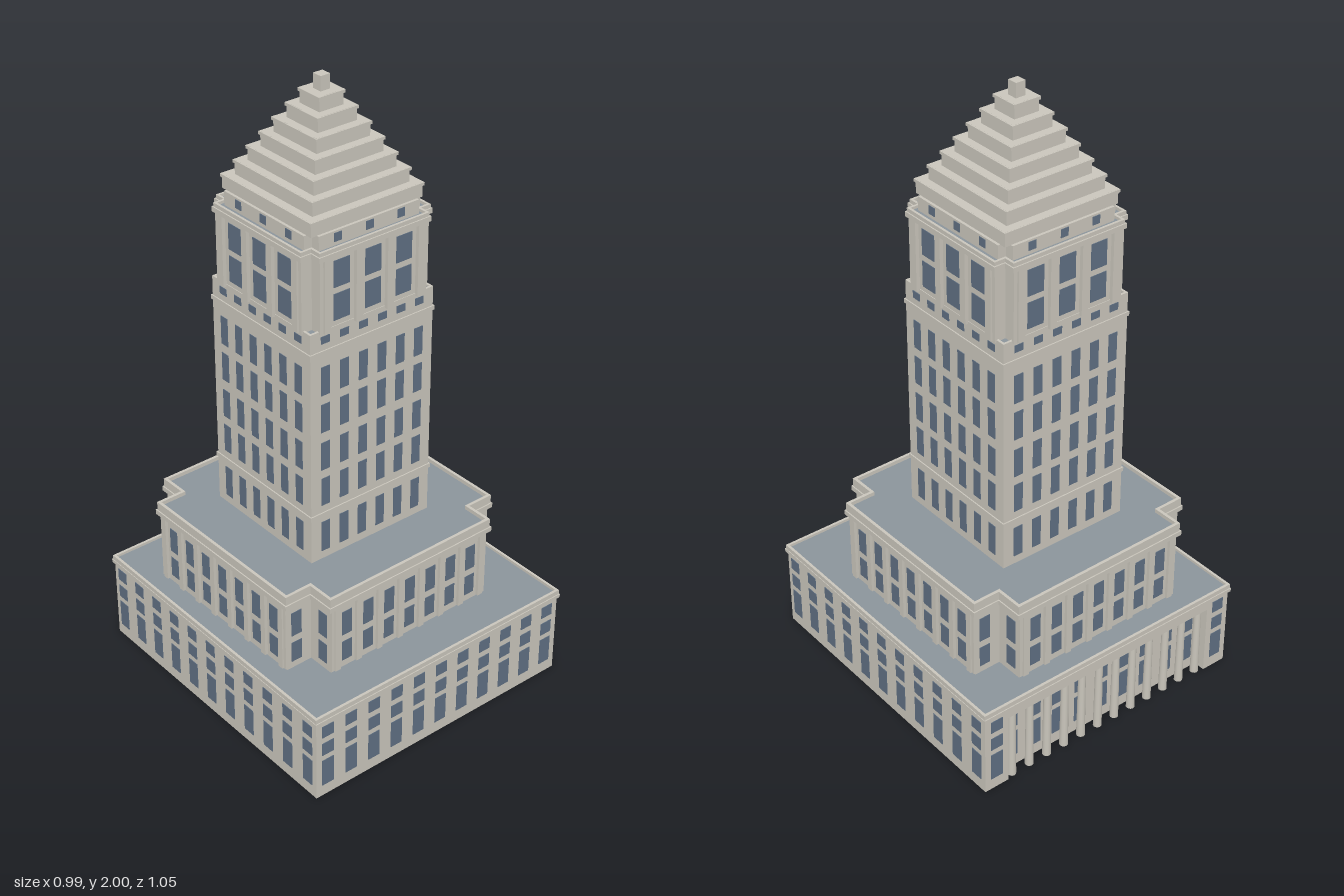
import * as THREE from 'three';
import { mergeGeometries } from 'three/addons/utils/BufferGeometryUtils.js';

const stone = new THREE.MeshStandardMaterial({ color: 0xc9c5bb, side: THREE.DoubleSide });
stone.name = 'stone';
const glass = new THREE.MeshStandardMaterial({ color: 0x5f6f82 });
glass.name = 'window glass';
const roofing = new THREE.MeshStandardMaterial({ color: 0x8b949b, side: THREE.DoubleSide });
roofing.name = 'roofing';

function add(parent, name, geometry, material) {
  const mesh = new THREE.Mesh(geometry, material);
  mesh.name = name;
  parent.add(mesh);
  return mesh;
}

function group(parent, name, x = 0, z = 0) {
  const g = new THREE.Group();
  g.name = name;
  g.position.set(x, 0, z);
  parent.add(g);
  return g;
}

// Plan outlines, listed as [x, -z]
const rect = (hx, hz) => [[-hx, -hz], [hx, -hz], [hx, hz], [-hx, hz]];
const cross = (h, n) => [[-n, -h], [n, -h], [n, -n], [h, -n], [h, n], [n, n],
  [n, h], [-n, h], [-n, n], [-h, n], [-h, -n], [-n, -n]];
// Rectangle with a wide recess along the back
const recessed = (hx, hz, rx, depth) => [[-hx, -hz], [hx, -hz], [hx, hz], [rx, hz],
  [rx, hz - depth], [-rx, hz - depth], [-rx, hz], [-hx, hz]];

// Upright prism over an outline, optionally hollow
function slab(outline, y0, y1, hole) {
  const points = (list) => list.map(([x, y]) => new THREE.Vector2(x, y));
  const shape = new THREE.Shape(points(outline));
  if (hole) shape.holes.push(new THREE.Path(points(hole)));
  const geo = new THREE.ExtrudeGeometry(shape, { depth: y1 - y0, bevelEnabled: false });
  return geo.rotateX(-Math.PI / 2).translate(0, y0, 0);
}

// Equal boxes at each x and each [bottom, top] row on a facade facing +z
function panels(xs, rows, width, dist, depth) {
  const list = [];
  for (const x of xs) for (const [y0, y1] of rows) {
    list.push(new THREE.BoxGeometry(width, y1 - y0, depth).translate(x, (y0 + y1) / 2, dist));
  }
  return mergeGeometries(list);
}

const spread = (count, step) => Array.from({ length: count }, (_, i) => (i - (count - 1) / 2) * step);

// Runs a builder once for each of the four facades
function fourSides(parent, build) {
  ['front', 'right', 'back', 'left'].forEach((side, i) => {
    const g = group(parent, side + 'Facade');
    g.rotation.y = i * Math.PI / 2;
    build(g, side);
  });
}

function buildBase(parent) {
  const g = group(parent, 'base');
  const hx = 0.487, hz = 0.517, recess = 0.04;
  add(g, 'baseWalls', slab(recessed(hx, hz, 0.4, recess), 0, 0.285,
    recessed(hx - 0.008, hz - 0.008, 0.408, recess)), stone);
  add(g, 'baseRoof', slab(rect(hx, hz), 0.285, 0.296), roofing);
  add(g, 'baseCornice', slab(rect(0.493, 0.524), 0.278, 0.29, rect(hx - 0.008, hz - 0.008)), stone);
  add(g, 'baseParapet', slab(rect(0.491, 0.521), 0.29, 0.305, rect(0.482, 0.512)), stone);

  const rows = [[0.04, 0.135], [0.155, 0.2], [0.222, 0.264]];
  fourSides(g, (f, side) => {
    const end = side === 'front' || side === 'back';
    const xs = spread(11, end ? 0.0888 : 0.0953), dist = end ? hz : hx;
    if (side === 'back') {
      add(f, 'cornerWindows', panels([xs[0], xs[10]], rows, 0.043, dist, 0.004), glass);
      add(f, 'porticoWindows', panels(xs.slice(1, 10), rows, 0.043, dist - recess, 0.004), glass);
    } else {
      add(f, 'windows', panels(xs, rows, 0.043, dist, 0.004), glass);
    }
  });

  // Columned portico at the back
  add(g, 'architrave', new THREE.BoxGeometry(0.8, 0.04, recess).translate(0, 0.265, -hz + recess / 2), stone);
  const columns = spread(12, 0.068).map((x) =>
    new THREE.CylinderGeometry(0.012, 0.014, 0.246, 12).translate(x, 0.123, -hz + 0.016));
  add(g, 'porticoColumns', mergeGeometries(columns), stone);
}

function buildMiddleTier(parent) {
  const g = group(parent, 'middleTier', -0.007, -0.035);
  g.rotation.y = 0.011;
  const h = 0.403, n = 0.311;
  add(g, 'tierWalls', slab(cross(h, n), 0.29, 0.54), stone);
  add(g, 'tierRoof', slab(cross(h, n), 0.54, 0.562), roofing);
  add(g, 'tierCornice', slab(cross(0.416, 0.324), 0.53, 0.546), stone);
  add(g, 'tierParapet', slab(cross(0.412, 0.32), 0.546, 0.575, cross(0.402, 0.31)), stone);
  const rows = [[0.32, 0.39], [0.415, 0.5]];
  fourSides(g, (f) => {
    add(f, 'windows', panels(spread(7, 0.083), rows, 0.038, h, 0.004), glass);
    add(f, 'wingWindows', panels([-0.367, 0.367], rows, 0.038, n, 0.004), glass);
    add(f, 'pilasters', panels(spread(8, 0.083), [[0.3, 0.53]], 0.02, h + 0.003, 0.014), stone);
    add(f, 'endPilasters', panels([-0.304, 0.304], [[0.3, 0.53]], 0.014, h, 0.01), stone);
  });
}

function buildTower(parent) {
  const g = group(parent, 'tower', -0.01, -0.039);
  const h = 0.23;
  add(g, 'shaft', slab(rect(h, h), 0.55, 1.335), stone);
  add(g, 'shaftRoof', slab(rect(h - 0.008, h - 0.008), 1.335, 1.34), roofing);
  add(g, 'shaftParapet', slab(rect(h, h), 1.335, 1.348, rect(h - 0.008, h - 0.008)), stone);
  for (const y of [0.715, 1.27]) {
    add(g, 'stringCourse', slab(rect(h + 0.004, h + 0.004), y, y + 0.014), stone);
  }
  const rows = [[0.59, 0.695], [0.755, 0.85], [0.88, 0.975], [1.01, 1.105], [1.135, 1.23], [1.306, 1.33]];
  fourSides(g, (f) => add(f, 'windows', panels(spread(6, 0.0703), rows, 0.032, h, 0.004), glass));

  // Belfry with notched corners
  const b = group(g, 'belfry'), d = 0.228;
  add(b, 'belfryWalls', slab(cross(d, 0.196), 1.335, 1.58), stone);
  add(b, 'belfryCornice', slab(cross(0.242, 0.205), 1.572, 1.588), stone);
  add(b, 'belfryParapet', slab(cross(0.238, 0.201), 1.588, 1.6, cross(0.23, 0.193)), stone);
  add(b, 'belfryRoof', slab(cross(0.232, 0.195), 1.588, 1.591), roofing);
  fourSides(b, (f) => {
    add(f, 'windows', panels(spread(3, 0.115), [[1.365, 1.45], [1.47, 1.555]], 0.058, d, 0.004), glass);
    add(f, 'pilasters', panels(spread(4, 0.115), [[1.34, 1.572]], 0.024, d + 0.005, 0.014), stone);
    add(f, 'endPilasters', panels([-0.192, 0.192], [[1.34, 1.572]], 0.012, d + 0.002, 0.01), stone);
  });

  // Attic under the stepped crown
  const a = group(g, 'attic');
  add(a, 'atticWalls', slab(cross(0.212, 0.183), 1.588, 1.636), stone);
  fourSides(a, (f) => add(f, 'atticWindows', panels(spread(3, 0.115), [[1.603, 1.63]], 0.027, 0.212, 0.004), glass));

  // Stepped pyramid
  const crown = group(g, 'steppedCrown');
  for (let i = 0; i < 8; i++) {
    const w = 0.203 - i * 0.0266, y = 1.635 + i * 0.0456;
    add(crown, 'crownStep', slab(rect(w, w), y, y + 0.0458), stone);
    if (i < 7) add(crown, 'crownStepLip', slab(rect(w + 0.004, w + 0.004), y + 0.036, y + 0.0456), stone);
  }
}

export function createModel() {
  const model = new THREE.Group();
  model.name = 'steppedTower';
  buildBase(model);
  buildMiddleTier(model);
  buildTower(model);
  return model;
}
